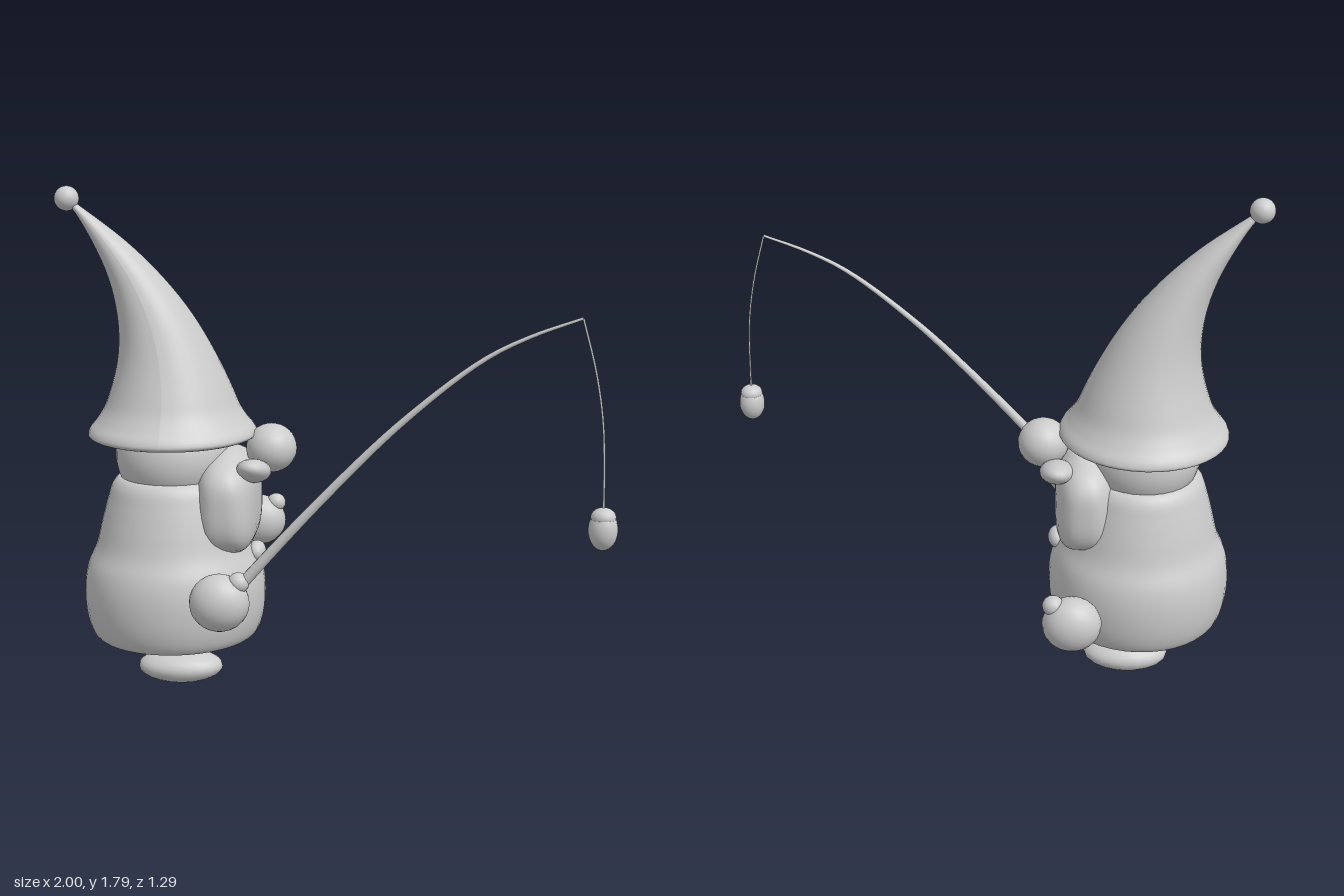
import * as THREE from 'three';

const CX = -0.585; // axis of the gnome, who looks along +x

export function createModel() {
  const group = new THREE.Group();
  const grey = new THREE.MeshStandardMaterial({ color: 0xcccccc });
  grey.name = 'plain grey';

  const add = (name, geometry, x = 0, y = 0, z = 0) => {
    const mesh = new THREE.Mesh(geometry, grey);
    mesh.name = name;
    mesh.position.set(x, y, z);
    group.add(mesh);
    return mesh;
  };
  const ellipsoid = (name, p, r, w = 20, h = 14) => {
    const mesh = add(name, new THREE.SphereGeometry(1, w, h), ...p);
    mesh.scale.set(...r);
    return mesh;
  };
  // Smooth lathe from [radius, height] points, run through a spline
  const lathe = (points, steps) => {
    const curve = new THREE.CatmullRomCurve3(points.map(([r, y]) => new THREE.Vector3(r, y, 0)), false, 'centripetal');
    const profile = curve.getPoints(steps).map((p) => new THREE.Vector2(Math.max(p.x, 0), p.y));
    return new THREE.LatheGeometry(profile, 40);
  };
  // Tube along points, tapering from r0 to r1
  const taperedTube = (points, r0, r1, segments, sides) => {
    const curve = new THREE.CatmullRomCurve3(points.map((p) => new THREE.Vector3(...p)));
    const geo = new THREE.TubeGeometry(curve, segments, 1, sides);
    const pos = geo.attributes.position;
    const v = new THREE.Vector3();
    for (let i = 0; i < pos.count; i++) {
      const t = Math.floor(i / (sides + 1)) / segments;
      const c = curve.getPointAt(t);
      v.fromBufferAttribute(pos, i).sub(c).multiplyScalar(r0 + (r1 - r0) * t).add(c);
      pos.setXYZ(i, v.x, v.y, v.z);
    }
    return geo;
  };

  // Body: a soft bell, closed below and above
  add('body', lathe([
    [0, 0.135], [0.15, 0.135], [0.27, 0.135], [0.3, 0.15], [0.325, 0.21], [0.335, 0.32],
    [0.322, 0.41], [0.288, 0.49], [0.265, 0.58], [0.243, 0.66], [0.222, 0.72], [0.195, 0.745], [0.1, 0.745], [0, 0.745],
  ], 60), CX);

  ellipsoid('head', [CX, 0.82, 0], [0.21, 0.2, 0.21], 32, 20);

  // Hat: a flared cone whose upper part is swept backwards
  const hat = lathe([
    [0, 0.887], [0.15, 0.887], [0.285, 0.887], [0.307, 0.9], [0.303, 0.92], [0.275, 0.957], [0.248, 1.0],
    [0.224, 1.06], [0.175, 1.2], [0.118, 1.4], [0.06, 1.6], [0.025, 1.7], [0.01, 1.75],
  ], 72);
  const hp = hat.attributes.position;
  for (let i = 0; i < hp.count; i++) {
    const t = Math.max(0, (hp.getY(i) - 1) / 0.75);
    hp.setX(i, hp.getX(i) - 0.37 * Math.pow(t, 2.3));
  }
  hat.computeVertexNormals();
  add('hat', hat, CX);
  ellipsoid('hatBall', [-0.955, 1.75, 0], [0.045, 0.045, 0.045]);

  // Beard: an ellipsoid that grows squarer towards its lower edge
  const beard = new THREE.SphereGeometry(1, 36, 28);
  const bp = beard.attributes.position;
  for (let i = 0; i < bp.count; i++) {
    const [x, y, z] = [bp.getX(i), bp.getY(i), bp.getZ(i)];
    const n = 3 - y;
    const s = Math.pow(Math.abs(x) ** n + Math.abs(y) ** n + Math.abs(z) ** n, -1 / n);
    bp.setXYZ(i, x * s * 0.11, y * s * (y > 0 ? 0.175 : 0.2), z * s * 0.235);
  }
  beard.computeVertexNormals();
  add('beard', beard, -0.378, 0.68, 0);

  ellipsoid('nose', [-0.222, 0.85, 0], [0.093, 0.09, 0.093], 24, 16);
  ellipsoid('button', [-0.28, 0.457, 0], [0.035, 0.04, 0.05]);

  // Paired parts
  for (const [side, s] of [['left', 1], ['right', -1]]) {
    const moustache = ellipsoid(side + 'Moustache', [-0.275, 0.787, s * 0.11], [0.064, 0.043, 0.105]);
    moustache.rotation.x = -s * 0.3;
    ellipsoid(side + 'Hand', [-0.338, 0.43, s * 0.56], [0.104, 0.1, 0.083]);
    ellipsoid(side + 'Thumb', [-0.272, 0.502, s * 0.56], [0.038, 0.036, 0.037], 16, 10);
    ellipsoid(side + 'Foot', [-0.543, 0.064, s * 0.162], [0.155, 0.06, 0.1]);
  }

  // Fishing rod, line and float
  add('rod', taperedTube([
    [-0.3, 0.45, 0.557], [-0.245, 0.515, 0.557], [0.01, 0.797, 0.557], [0.278, 1.066, 0.557],
    [0.545, 1.28, 0.557], [0.7, 1.36, 0.557], [0.863, 1.42, 0.557],
  ], 0.021, 0.005, 32, 10));
  add('fishingLine', taperedTube([
    [0.863, 1.42, 0.557], [0.91, 1.24, 0.557], [0.936, 1.08, 0.557], [0.945, 0.92, 0.557], [0.947, 0.77, 0.557],
  ], 0.004, 0.004, 20, 6));
  ellipsoid('float', [0.947, 0.715, 0.557], [0.05, 0.07, 0.05]);
  ellipsoid('floatCap', [0.947, 0.758, 0.557], [0.043, 0.033, 0.043], 16, 10);

  return group;
}
